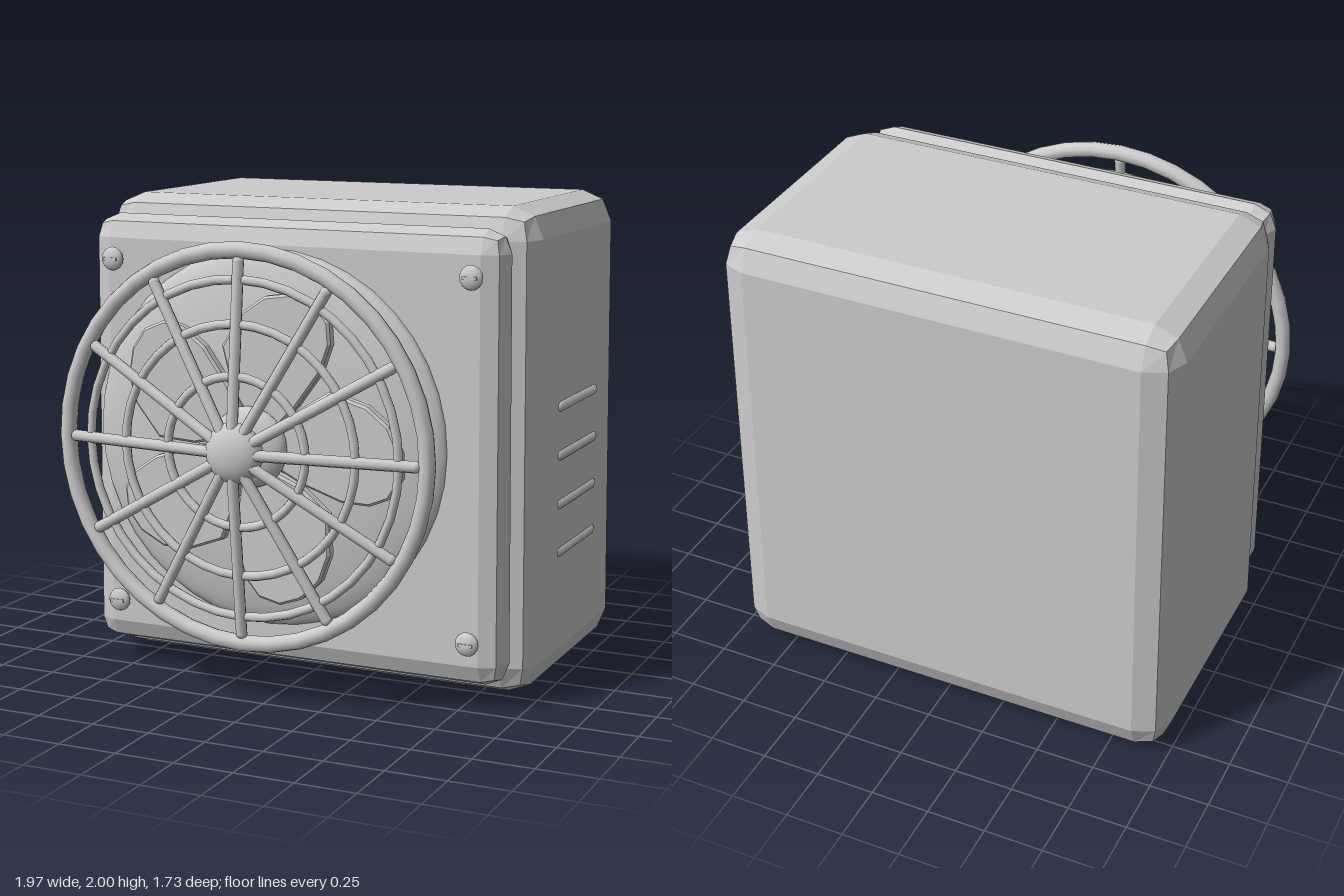
import * as THREE from 'three';

const flatGrey = new THREE.MeshStandardMaterial({ color: 0xcccccc, flatShading: true });
const grey = new THREE.MeshStandardMaterial({ color: 0xcccccc });
flatGrey.name = 'grey flat';
grey.name = 'grey smooth';

function part(parent, name, geometry, material, x = 0, y = 0, z = 0) {
  const mesh = new THREE.Mesh(geometry, material);
  mesh.name = name;
  mesh.position.set(x, y, z);
  parent.add(mesh);
  return mesh;
}

// Box with a two-step bevel of radius r, narrowing by `taper` at the top
function beveledBox(w, h, d, r, taper) {
  const geo = new THREE.BoxGeometry(3, 3, 3, 3, 3, 3);
  const p = geo.attributes.position;
  const half = new THREE.Vector3(w / 2 - r, h / 2 - r, d / 2 - r);
  const dir = new THREE.Vector3(), side = new THREE.Vector3();
  for (let i = 0; i < p.count; i++) {
    dir.fromBufferAttribute(p, i);
    side.set(Math.sign(dir.x), Math.sign(dir.y), Math.sign(dir.z));
    dir.set(Math.trunc(dir.x), Math.trunc(dir.y), Math.trunc(dir.z)).normalize();
    const v = side.multiply(half).addScaledVector(dir, r);
    const shrink = taper * (v.y / h + 0.5);
    p.setXYZ(i, v.x - Math.sign(v.x) * shrink, v.y, v.z - Math.sign(v.z) * shrink * 0.5);
  }
  geo.computeVertexNormals();
  return geo;
}

// Ball flattened along z
function lens(radius, depth, seg = 24) {
  return new THREE.SphereGeometry(radius, seg, Math.max(8, seg / 2)).rotateX(Math.PI / 2).scale(1, 1, depth / radius);
}

export function createModel() {
  const model = new THREE.Group();
  model.name = 'boxFan';

  // Housing and front panel
  part(model, 'housing', beveledBox(1.97, 2, 1.175, 0.13, 0.02), flatGrey, -0.005, 1, -0.28);
  part(model, 'frontPanel', beveledBox(1.865, 1.84, 0.205, 0.095, 0.015), flatGrey, -0.007, 1.01, 0.393);

  // Slotted screws in the panel corners
  for (const x of [-0.8, 0.79]) for (const y of [0.285, 1.75]) {
    const screw = new THREE.Group();
    screw.name = 'screw';
    screw.position.set(x, y, 0.517);
    part(screw, 'screwHead', lens(0.05, 0.024, 16), grey);
    part(screw, 'screwSlot', new THREE.BoxGeometry(0.06, 0.013, 0.008), flatGrey, 0, 0, 0.022);
    model.add(screw);
  }

  // Vent ribs on the left side
  for (const y of [0.545, 0.75, 0.957, 1.163]) {
    part(model, 'ventRib', new THREE.CapsuleGeometry(0.025, 0.455, 3, 8).rotateX(Math.PI / 2), grey, 0.959, y, -0.29);
  }

  const fan = new THREE.Group();
  fan.name = 'fan';
  fan.position.set(-0.095, 1.04, 0);
  model.add(fan);

  // Domed backing
  part(fan, 'backDish', lens(0.785, 0.11, 40), grey, 0, 0, 0.49);

  // Five curved blades around a hub
  const outline = [[0.1, -0.06], [0.24, -0.11], [0.42, -0.146], [0.54, -0.135], [0.62, -0.09], [0.66, 0],
    [0.645, 0.1], [0.58, 0.2], [0.48, 0.26], [0.31, 0.286], [0.18, 0.18], [0.1, 0.06]];
  const bladeShape = new THREE.Shape(outline.map(([u, v]) => new THREE.Vector2(u, v)));
  const bladeGeo = new THREE.ExtrudeGeometry(bladeShape, {
    depth: 0.035, bevelThickness: 0.01, bevelSize: 0.01, bevelOffset: -0.01, bevelSegments: 1,
  });
  for (let i = 0; i < 5; i++) {
    part(fan, 'blade', bladeGeo, flatGrey, 0, 0, 0.612).rotation.z = THREE.MathUtils.degToRad(65 + i * 72);
  }
  part(fan, 'hub', lens(0.167, 0.065), grey, 0, 0, 0.665);

  // Guard rings rising in a shallow cone towards the centre
  const coneZ = (r) => 0.825 - 0.1 * r;
  part(fan, 'outerRing', new THREE.TorusGeometry(0.8, 0.034, 10, 40), grey, 0, 0, 0.737);
  for (const r of [0.685, 0.51, 0.305]) {
    part(fan, 'guardRing', new THREE.TorusGeometry(r, 0.019, 8, 40), grey, 0, 0, coneZ(r) - 0.008);
  }

  // Twelve round-ended spokes
  const spokePath = new THREE.LineCurve3(new THREE.Vector3(0.08, 0, coneZ(0.08)), new THREE.Vector3(0.755, 0, coneZ(0.755)));
  const spokeGeo = new THREE.TubeGeometry(spokePath, 1, 0.024, 8);
  const tipGeo = new THREE.SphereGeometry(0.024, 8, 6);
  for (let i = 0; i < 12; i++) {
    const spoke = part(fan, 'spoke', spokeGeo, grey);
    part(spoke, 'spokeTip', tipGeo, grey, 0.755, 0, coneZ(0.755));
    spoke.rotation.z = (i * Math.PI) / 6;
  }
  part(fan, 'centreCap', lens(0.125, 0.065), grey, 0, 0, 0.8);

  return model;
}
